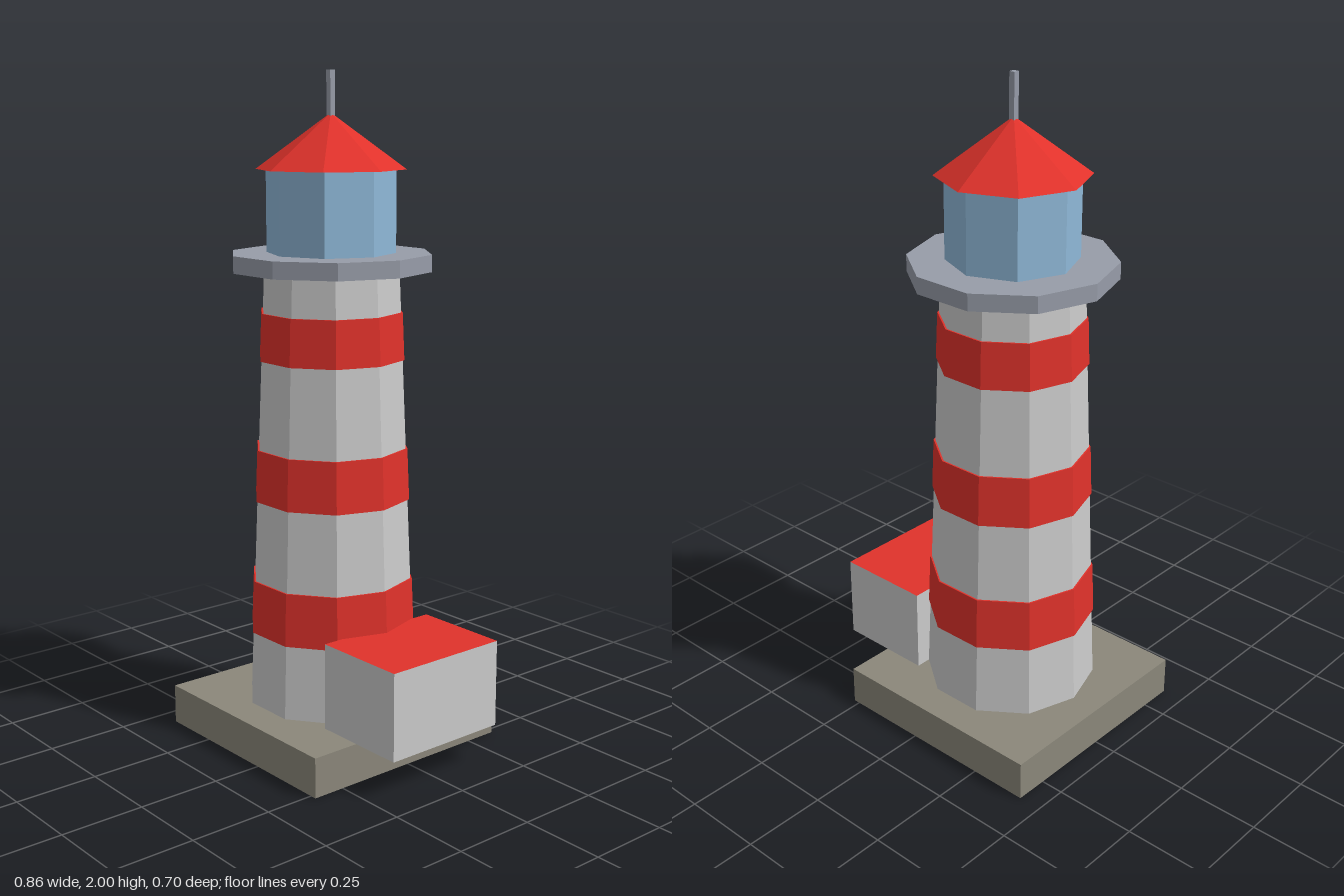
import * as THREE from 'three';

const mat = (color) =>
  new THREE.MeshStandardMaterial({ color, flatShading: true, side: THREE.DoubleSide });

export function createModel() {
  const model = new THREE.Group();
  model.name = 'lighthouse';

  const white = mat(0xcccccc);
  const red = mat(0xe0322b);
  const stone = mat(0x8b877a);
  const metal = mat(0x979ca8);
  const glass = mat(0x8fb8d8);
  const axisX = -0.08; // the tower stands off centre, beside the annex

  const add = (name, geometry, material, x, y, z = 0) => {
    const mesh = new THREE.Mesh(geometry, material);
    mesh.name = name;
    mesh.position.set(x, y, z);
    model.add(mesh);
    return mesh;
  };

  // Prism or frustum on the tower axis, with a corner on the x axis
  const drum = (name, rTop, rBottom, y0, y1, sides, material) => {
    const g = new THREE.CylinderGeometry(rTop, rBottom, y1 - y0, sides);
    g.rotateY(Math.PI / 2);
    return add(name, g, material, axisX, (y0 + y1) / 2);
  };

  // Box without its bottom face; the top is a separate material group
  const openBox = (w, h, d) => {
    const g = new THREE.BoxGeometry(w, h, d);
    const index = Array.from(g.index.array);
    index.splice(18, 6);
    g.setIndex(index);
    g.clearGroups();
    g.addGroup(0, 12, 0);
    g.addGroup(12, 6, 1);
    g.addGroup(18, 12, 0);
    return g;
  };

  // Square foundation, hollow underneath
  add('foundation', openBox(0.7, 0.12, 0.7), [stone, stone], axisX, 0.06);

  // Tapering ten-sided tower
  const y0 = 0.12, y1 = 1.43, rBottom = 0.26, rTop = 0.205;
  const radiusAt = (y) => THREE.MathUtils.mapLinear(y, y0, y1, rBottom, rTop);
  drum('tower', rTop, rBottom, y0, y1, 10, white);

  // Painted bands, slightly proud of the tower wall
  [[0.345, 0.505], [0.75, 0.905], [1.17, 1.31]].forEach(([a, b], i) => {
    drum(`band${i + 1}`, radiusAt(b) + 0.005, radiusAt(a) + 0.005, a, b, 10, red);
  });

  // Gallery deck, lantern room, roof and mast
  drum('galleryDeck', 0.3, 0.3, 1.43, 1.48, 10, metal);
  drum('lanternRoom', 0.19, 0.19, 1.48, 1.72, 8, glass);
  drum('roof', 0, 0.22, 1.72, 1.88, 8, red);
  add('mast', new THREE.BoxGeometry(0.018, 0.13, 0.018), metal, axisX, 1.935);

  // Annex with a flat red roof, open underneath
  add('annex', openBox(0.3, 0.26, 0.4), [white, red], 0.28, 0.25);

  return model;
}
